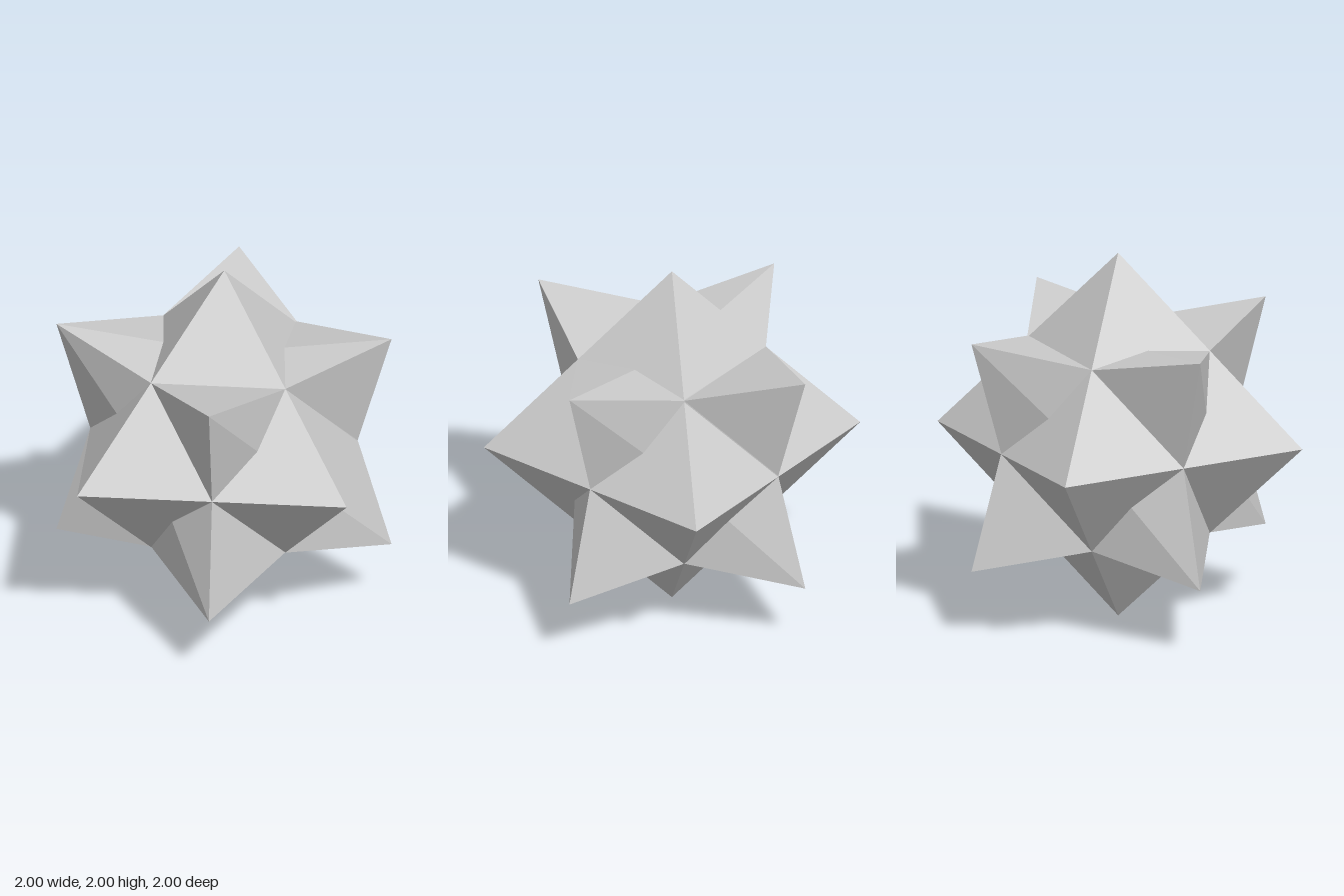
import * as THREE from 'three';

const material = new THREE.MeshStandardMaterial({ color: 0xcccccc, flatShading: true });

// Mesh from triangles of Vector3, each turned to face away from the middle
function outwardMesh(name, triangles) {
  const points = [];
  for (const [a, b, c] of triangles) {
    const normal = b.clone().sub(a).cross(c.clone().sub(a));
    points.push(...(normal.dot(a) > 0 ? [a, b, c] : [a, c, b]));
  }
  const geometry = new THREE.BufferGeometry().setFromPoints(points);
  geometry.computeVertexNormals();
  const mesh = new THREE.Mesh(geometry, material);
  mesh.name = name;
  return mesh;
}

// Six-pointed solid, its back and side tips a touch out of true
function octahedron() {
  const triangles = [];
  for (const x of [-1, 1]) for (const y of [-1, 1]) for (const z of [-1, 1]) {
    triangles.push([
      new THREE.Vector3(x, 0, -0.015),
      new THREE.Vector3(0, y, -0.01),
      new THREE.Vector3(0, z < 0 ? -0.012 : 0, z),
    ]);
  }
  return outwardMesh('octahedron', triangles);
}

// Cube with pulled-out corners; every face is a 2 x 2 grid of folded quads
function spikedCube() {
  const half = 0.5, corner = 0.627;
  const foldSign = [1, -1, -1];
  const triangles = [];
  for (let axis = 0; axis < 3; axis++) for (const s of [-1, 1]) {
    const u = (axis + 1) % 3, v = (axis + 2) % 3;
    const point = (a, b) => {
      const r = a && b ? corner : half;
      const p = new THREE.Vector3();
      p.setComponent(axis, s * r);
      p.setComponent(u, a * r);
      p.setComponent(v, b * r);
      return p;
    };
    for (const a of [-1, 1]) for (const b of [-1, 1]) {
      const centre = point(0, 0), tip = point(a, b), midU = point(a, 0), midV = point(0, b);
      // The fold runs either to the corner or across it
      if (a * b * s * foldSign[axis] > 0) triangles.push([centre, tip, midU], [centre, tip, midV]);
      else triangles.push([centre, midU, midV], [tip, midU, midV]);
    }
  }
  const mesh = outwardMesh('spikedCube', triangles);
  mesh.position.z = -0.008;
  return mesh;
}

export function createModel() {
  const star = new THREE.Group();
  star.name = 'star';
  star.add(octahedron(), spikedCube());
  star.position.y = 1;
  const model = new THREE.Group();
  model.name = 'starPolyhedron';
  model.add(star);
  return model;
}
